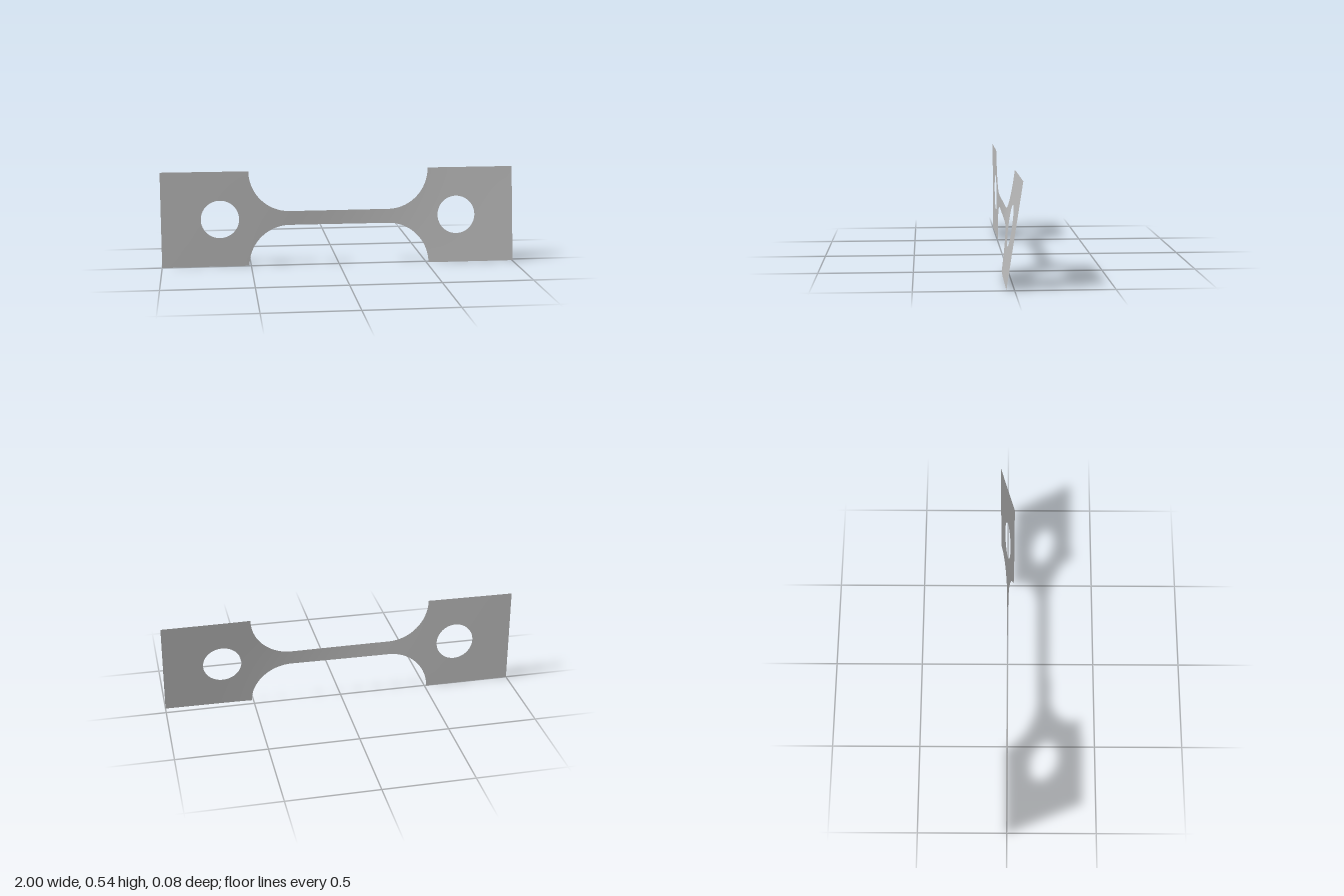
import * as THREE from 'three';

const MID = 0.271;      // height of the long axis, also half the tab height
const TAB = 0.51;       // where the tabs begin
const FILLET = 0.23;    // radius of the concave shoulders
const WAIST = 0.04;     // half height of the neck
const HOLE_X = 0.672, HOLE_R = 0.107;

// Tilt of the sheet about its long axis at stations along x
const stations = [[-1, 0.004], [-0.5, 0.018], [-0.22, 0.04], [0, 0], [0.3, -0.08], [0.51, -0.128], [1, -0.152]];
const tiltCurve = new THREE.CatmullRomCurve3(stations.map(([x, a]) => new THREE.Vector3(x, a, 0)), false, 'centripetal');
const tiltSamples = tiltCurve.getPoints(300);
function tilt(x) {
  const i = Math.max(1, tiltSamples.findIndex(p => p.x >= x - 1e-6));
  const a = tiltSamples[i - 1], b = tiltSamples[i];
  return THREE.MathUtils.mapLinear(x, a.x, b.x, a.y, b.y);
}

// Twisted thin surface from a flat grid rule (u, v) -> [x, distance from axis]
function sheet(name, nu, nv, rule, material) {
  const pos = [], index = [];
  for (let i = 0; i <= nu; i++) {
    for (let j = 0; j <= nv; j++) {
      const [x, d] = rule(i / nu, j / nv);
      const a = tilt(x);
      pos.push(x, MID + d * Math.cos(a), d * Math.sin(a));
      if (i < nu && j < nv) {
        const p = i * (nv + 1) + j, q = p + nv + 1;
        index.push(p, q, q + 1, p, q + 1, p + 1);
      }
    }
  }
  const g = new THREE.BufferGeometry();
  g.setAttribute('position', new THREE.Float32BufferAttribute(pos, 3));
  g.setIndex(index);
  g.computeVertexNormals();
  const mesh = new THREE.Mesh(g, material);
  mesh.name = name;
  return mesh;
}

// Rectangular tab: rings blending from the round hole out to the rectangle
function tab(name, x0, x1, holeX, material) {
  const corners = [[x1, -MID], [x1, MID], [x0, MID], [x0, -MID], [x1, -MID]];
  return sheet(name, 8, 96, (u, v) => {
    const side = Math.min(3, Math.floor(v * 4 + 1e-9)), t = v * 4 - side;
    const [ax, ay] = corners[side], [bx, by] = corners[side + 1];
    const ex = ax + (bx - ax) * t, ey = ay + (by - ay) * t;
    const k = HOLE_R / Math.hypot(ex - holeX, ey);
    const s = k + (1 - k) * u;
    return [holeX + (ex - holeX) * s, ey * s];
  }, material);
}

// Half height of the neck, flaring out in circular shoulders
function neckHalf(x) {
  const d = Math.max(0, Math.abs(x) - (TAB - FILLET));
  return WAIST + (MID - WAIST) * (1 - Math.sqrt(Math.max(0, 1 - (d / FILLET) ** 2)));
}

export function createModel() {
  const metal = new THREE.MeshStandardMaterial({ color: 0xb8b8b8, side: THREE.DoubleSide });
  metal.name = 'grey metal';
  const model = new THREE.Group();
  model.name = 'twistedTestStrip';

  model.add(tab('rightTab', -1, -TAB, -HOLE_X, metal));
  model.add(tab('leftTab', TAB, 1, HOLE_X, metal));

  // Columns crowd towards the tabs, where the shoulders are steepest
  model.add(sheet('neck', 120, 12, (u, v) => {
    const x = TAB * Math.sin((u - 0.5) * Math.PI);
    return [x, (v * 2 - 1) * neckHalf(x)];
  }, metal));
  return model;
}
